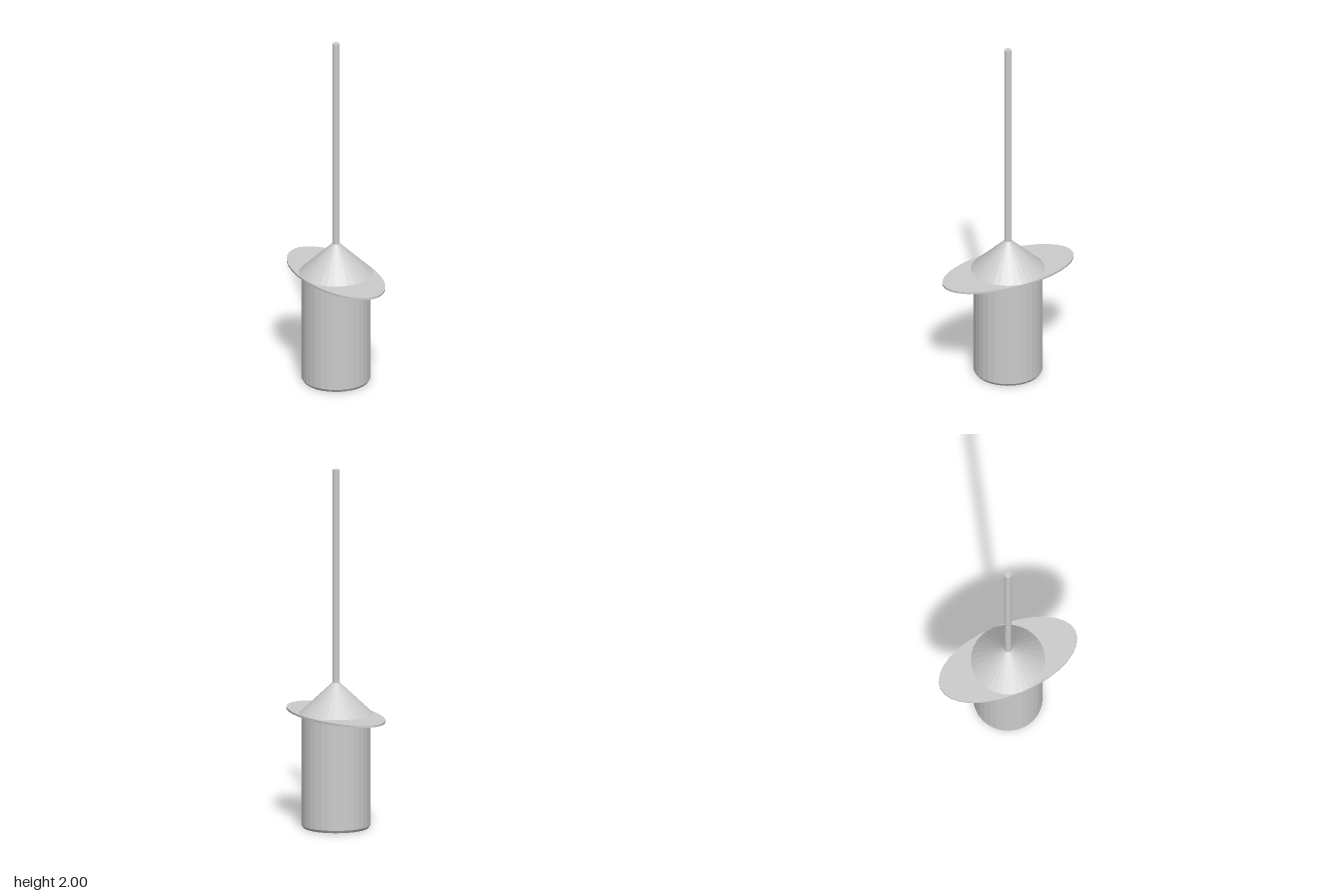
import * as THREE from 'three';

const SIDES = 32;

export function createModel() {
  const model = new THREE.Group();
  const material = new THREE.MeshStandardMaterial({ color: 0xcccccc, flatShading: true });

  // Round part standing between two heights
  function addRound(name, bottomY, topY, bottomRadius, topRadius) {
    const geometry = new THREE.CylinderGeometry(topRadius, bottomRadius, topY - bottomY, SIDES);
    const mesh = new THREE.Mesh(geometry, material);
    mesh.name = name;
    mesh.position.y = (bottomY + topY) / 2;
    model.add(mesh);
    return mesh;
  }

  // Cylindrical body with a small chamfer at its foot
  const profile = [[0, 0], [0.18, 0], [0.19, 0.015], [0.19, 0.63], [0, 0.63]]
    .map(([r, y]) => new THREE.Vector2(r, y));
  const body = new THREE.Mesh(new THREE.LatheGeometry(profile, SIDES), material);
  body.name = 'body';
  model.add(body);

  // Thin oval brim, long from front to back
  const brim = addRound('brim', 0.625, 0.637, 0.204, 0.204);
  brim.scale.z = 2;

  // Conical shoulder and long rod
  addRound('coneTop', 0.637, 0.81, 0.204, 0.02);
  addRound('rod', 0.81, 2, 0.02, 0.02);

  return model;
}
